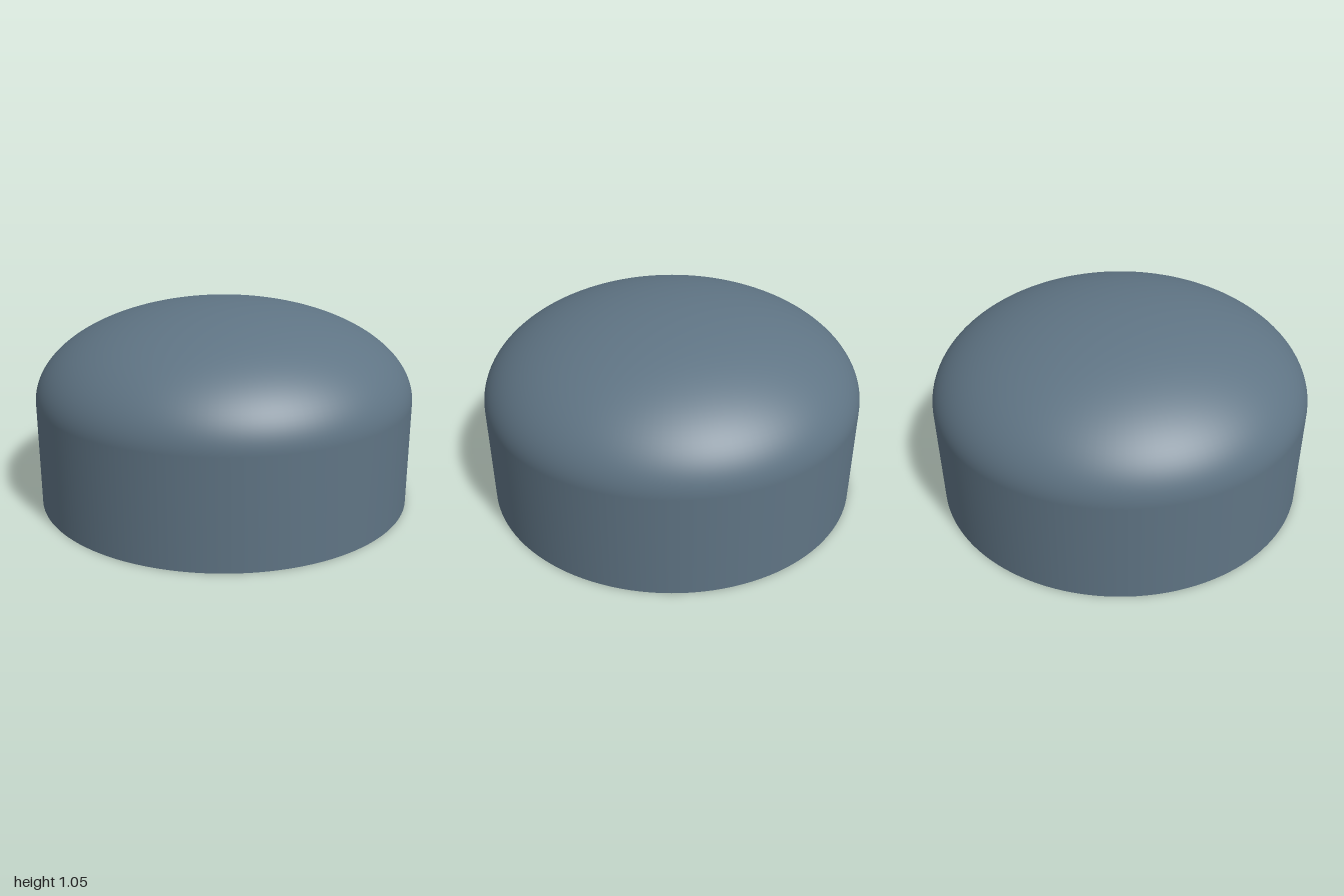
import * as THREE from 'three';

const OUTER_RADIUS = 1;
const WALL = 0.1;
const SKIRT_HEIGHT = 0.55; // straight wall below the dome
const DOME_HEIGHT = 0.5;

// Straight skirt followed by a quarter ellipse up to the axis
function capProfile(radius, domeHeight, steps = 40) {
  const points = [new THREE.Vector2(radius, 0)];
  for (let i = 0; i <= steps; i++) {
    const a = (i / steps) * Math.PI / 2;
    const r = i === steps ? 0 : radius * Math.cos(a);
    points.push(new THREE.Vector2(r, SKIRT_HEIGHT + domeHeight * Math.sin(a)));
  }
  return points;
}

export function createModel() {
  const group = new THREE.Group();
  group.name = 'domedCap';
  const material = new THREE.MeshStandardMaterial({ color: 0x5f7484 });

  // Each surface is its own lathe, so the rim edges stay sharp
  const addLathe = (name, points) => {
    const mesh = new THREE.Mesh(new THREE.LatheGeometry(points, 128), material);
    mesh.name = name;
    group.add(mesh);
  };

  const innerRadius = OUTER_RADIUS - WALL;
  addLathe('outerShell', capProfile(OUTER_RADIUS, DOME_HEIGHT));
  // Reversed so that the faces look into the hollow
  addLathe('innerShell', capProfile(innerRadius, DOME_HEIGHT - WALL).reverse());
  addLathe('bottomRim', [new THREE.Vector2(innerRadius, 0), new THREE.Vector2(OUTER_RADIUS, 0)]);

  return group;
}
